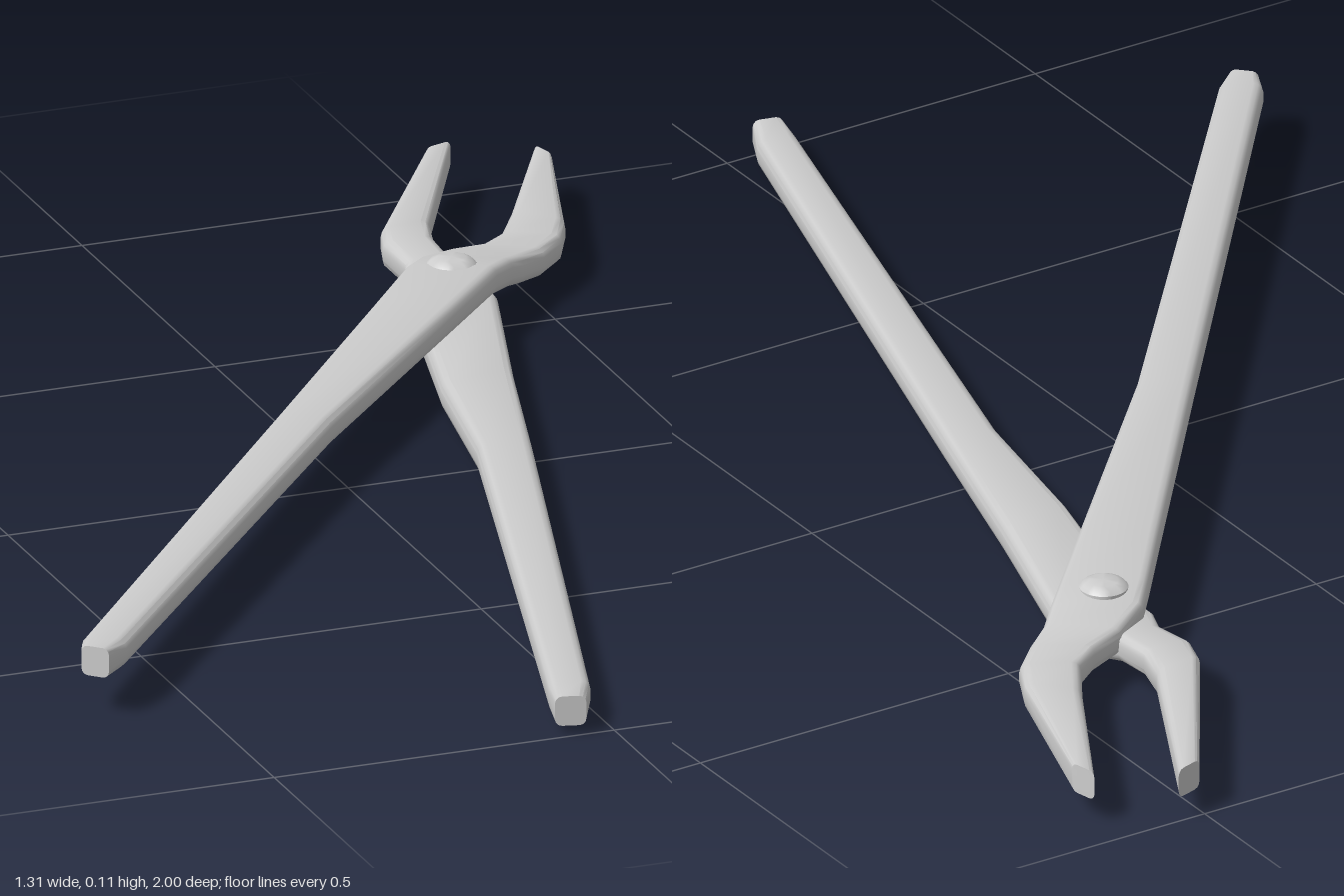
import * as THREE from 'three';
import { toCreasedNormals } from 'three/addons/utils/BufferGeometryUtils.js';

const material = new THREE.MeshStandardMaterial({ color: 0xcccccc });
const HALF_HEIGHT = 0.0215;

// Rounded bar through stations [left x, left z, right x, right z, centre y], handle end first
function forgedBar(stations, name) {
  const pos = [], index = [], corner = 4, n = corner * 4;
  for (const [lx, lz, rx, rz, y] of stations) {
    const half = Math.hypot(rx - lx, rz - lz) / 2;
    const r = Math.min(0.014, half * 0.45);
    for (let q = 0; q < 4; q++) {
      const sx = q === 0 || q === 3 ? 1 : -1, sy = q < 2 ? 1 : -1;
      for (let k = 0; k < corner; k++) {
        const a = (q + k / (corner - 1)) * Math.PI / 2;
        const across = (sx * (half - r) + r * Math.cos(a)) / (2 * half) + 0.5;
        const up = sy * (HALF_HEIGHT - r) + r * Math.sin(a);
        pos.push(lx + (rx - lx) * across, y + up, lz + (rz - lz) * across);
      }
    }
  }
  const last = (stations.length - 1) * n;
  for (let i = 0; i < last; i += n) {
    for (let j = 0; j < n; j++) {
      const a = i + j, b = i + (j + 1) % n;
      index.push(a, a + n, b, b, a + n, b + n);
    }
  }
  for (let j = 1; j < n - 1; j++) {
    index.push(0, j, j + 1, last, last + j + 1, last + j);
  }
  const geometry = new THREE.BufferGeometry();
  geometry.setAttribute('position', new THREE.Float32BufferAttribute(pos, 3));
  geometry.setIndex(index);
  const mesh = new THREE.Mesh(toCreasedNormals(geometry, 0.65), material);
  mesh.name = name;
  return mesh;
}

export function createModel() {
  const group = new THREE.Group();
  group.name = 'tongs';

  // Upper half: long handle, flat boss at the pivot, right-hand jaw
  group.add(forgedBar([
    [-0.656, 0.675, -0.627, 0.704, 0.079],
    [-0.643, 0.643, -0.590, 0.675, 0.079],
    [-0.080, -0.062, -0.019, -0.013, 0.079],
    [0.198, -0.412, 0.294, -0.353, 0.079],
    [0.288, -0.526, 0.405, -0.474, 0.079],
    [0.325, -0.569, 0.442, -0.511, 0.072],
    [0.384, -0.606, 0.468, -0.537, 0.063],
    [0.437, -0.622, 0.511, -0.569, 0.057],
    [0.479, -0.653, 0.553, -0.611, 0.057],
    [0.521, -0.722, 0.579, -0.664, 0.057],
    [0.643, -0.944, 0.653, -0.902, 0.057],
  ], 'upperHandleAndJaw'));

  // Lower half: passes under the pivot to the left-hand jaw
  group.add(forgedBar([
    [-0.082, 0.987, -0.040, 0.998, 0.034],
    [-0.071, 0.934, -0.013, 0.944, 0.034],
    [0.172, 0.045, 0.249, 0.056, 0.034],
    [0.214, -0.198, 0.325, -0.209, 0.034],
    [0.288, -0.500, 0.410, -0.484, 0.034],
    [0.294, -0.548, 0.410, -0.542, 0.041],
    [0.320, -0.606, 0.389, -0.606, 0.052],
    [0.315, -0.675, 0.389, -0.670, 0.057],
    [0.330, -0.722, 0.405, -0.728, 0.057],
    [0.500, -0.987, 0.542, -1.000, 0.057],
  ], 'lowerHandleAndJaw'));

  // Rivet with a low domed head on each side
  const profile = [[0, 0], [0.02, 0.001], [0.029, 0.005], [0.034, 0.012],
    [0.034, 0.099], [0.029, 0.104], [0.02, 0.108], [0, 0.109]];
  const rivet = new THREE.Mesh(
    toCreasedNormals(new THREE.LatheGeometry(profile.map(p => new THREE.Vector2(...p)), 24), 0.7),
    material);
  rivet.name = 'rivet';
  rivet.position.set(0.352, 0, -0.511);
  group.add(rivet);

  return group;
}
